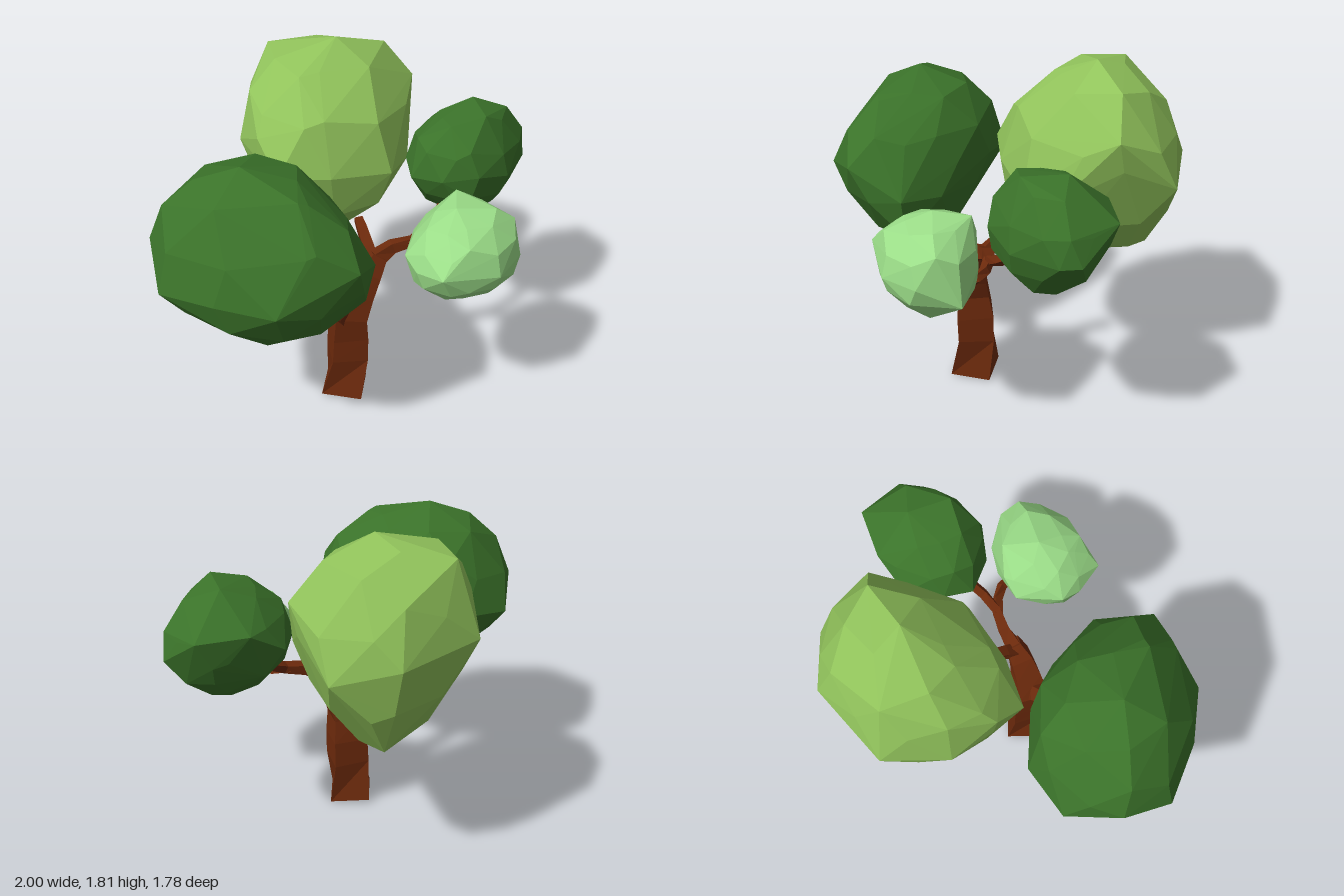
import * as THREE from 'three';
import { ConvexGeometry } from 'three/addons/geometries/ConvexGeometry.js';

const mat = (name, color) => {
  const m = new THREE.MeshStandardMaterial({ color, flatShading: true });
  m.name = name;
  return m;
};

// Distance factor along (dx, dy) from the origin to a closed outline
function reach(outline, dx, dy) {
  let best = 0;
  outline.forEach(([ax, ay], i) => {
    const [bx, by] = outline[(i + 1) % outline.length];
    const ex = bx - ax, ey = by - ay;
    const den = dx * ey - dy * ex;
    if (Math.abs(den) < 1e-9) return;
    const k = (ax * ey - ay * ex) / den;
    const s = (ax * dy - ay * dx) / den;
    if (k > 0 && s > -1e-6 && s < 1 + 1e-6) best = Math.max(best, k);
  });
  return best;
}

// How far an outline leans along its diagonal: -1 to 1
function lean(outline) {
  let uu = 0, vv = 0, uv = 0;
  outline.forEach(([a, b], i) => {
    const [c, d] = outline[(i + 1) % outline.length];
    const w = a * d - b * c;
    uu += 2 * w * (a * a + a * c + c * c);
    vv += 2 * w * (b * b + b * d + d * d);
    uv += w * (2 * a * b + a * d + b * c + 2 * c * d);
  });
  return uv / Math.sqrt(uu * vv);
}

// Faceted leaf clump: hull of its front (x,y), side (z,y) and top (x,z) outlines,
// each bent along a leaning ellipsoid, with three points per octant and any extra corners
function clump(front, side, top, corners = []) {
  const span = (list, i) => {
    const vals = list.map(p => p[i]), lo = Math.min(...vals), hi = Math.max(...vals);
    return [(lo + hi) / 2, (hi - lo) / 2];
  };
  const box = [span(front, 0), span(front, 1), span(side, 0)];
  const planes = [[front, 0, 1, 2], [side, 2, 1, 0], [top, 0, 2, 1]].map(([list, u, v, w]) => {
    const unit = list.map(p => [(p[0] - box[u][0]) / box[u][1], (p[1] - box[v][0]) / box[v][1]]);
    return { unit, u, v, w, r: lean(unit) };
  });
  const between = (i, j) => planes.find(p => p.w === 3 - i - j).r;
  // Depth slopes of axis w against u and v
  const slopes = ({ u, v, w, r }) => {
    const a = between(u, w), b = between(v, w);
    return [(a - b * r) / (1 - r * r), (b - a * r) / (1 - r * r)];
  };
  const points = [];
  for (const plane of planes) {
    const [a, b] = slopes(plane);
    for (const uv of plane.unit) {
      const p = [0, 0, 0];
      p[plane.u] = uv[0];
      p[plane.v] = uv[1];
      p[plane.w] = a * uv[0] + b * uv[1];
      // An extreme point is the same corner in two outlines
      [plane.u, plane.v].forEach((axis, i) => {
        if (Math.abs(uv[i]) < 0.999) return;
        const other = planes.find(o => o !== plane && o.w !== axis);
        const at = other.u === axis ? 0 : 1;
        p[plane.w] = other.unit.find(q => Math.abs(q[at] - uv[i]) < 0.01)?.[1 - at] ?? p[plane.w];
      });
      points.push(p);
    }
  }
  const r = planes[0].r, [a, b] = slopes(planes[0]);
  const depth = Math.sqrt(1 - a * between(0, 2) - b * between(1, 2));
  for (let i = 0; i < 24; i++) {
    const [d1, d2, d3] = [1, 2, 4].map((bit, axis) =>
      (i & bit ? 1 : -1) * (axis === i >> 3 ? 2 : 1) / Math.sqrt(6));
    const x = d1, y = r * d1 + Math.sqrt(1 - r * r) * d2;
    const p = [x, y, a * x + b * y + depth * d3];
    let sum = 0, weight = 0;
    for (const o of planes) {
      const u = p[o.u], v = p[o.v];
      const f = Math.sqrt((u * u + v * v - 2 * o.r * u * v) / (1 - o.r * o.r));
      sum += f ** 9 * reach(o.unit, u, v);
      weight += f ** 8;
    }
    points.push(p.map(c => c * sum / weight));
  }
  const world = points.map(p => p.map((c, i) => box[i][0] + c * box[i][1]));
  return new ConvexGeometry([...world, ...corners].map(p => new THREE.Vector3(...p)));
}

// Tapered limb through [x, y, z, radius, twist] stations
function limb(stations, sides = 4) {
  const pts = stations.map(([x, y, z]) => new THREE.Vector3(x, y, z));
  const up = new THREE.Vector3(0, 1, 0), q = new THREE.Quaternion();
  const verts = [], index = [];
  pts.forEach((p, k) => {
    const t = pts[Math.min(k + 1, pts.length - 1)].clone().sub(pts[Math.max(k - 1, 0)]).normalize();
    q.setFromUnitVectors(up, t);
    const [, , , r, twist = -0.75] = stations[k];
    for (let i = 0; i < sides; i++) {
      const a = twist + (i / sides) * Math.PI * 2;
      verts.push(...new THREE.Vector3(Math.cos(a) * r, 0, Math.sin(a) * r).applyQuaternion(q).add(p).toArray());
    }
  });
  const last = (pts.length - 1) * sides;
  for (let k = 0; k < last; k += sides) {
    for (let i = 0; i < sides; i++) {
      const a = k + i, b = k + (i + 1) % sides;
      index.push(a, a + sides, b, b, a + sides, b + sides);
    }
  }
  for (let i = 1; i < sides - 1; i++) index.push(0, i, i + 1, last, last + i + 1, last + i);
  const geo = new THREE.BufferGeometry();
  geo.setAttribute('position', new THREE.Float32BufferAttribute(verts, 3));
  geo.setIndex(index);
  const flat = geo.toNonIndexed();
  flat.computeVertexNormals();
  return flat;
}

export function createModel() {
  const bark = mat('bark brown', 0x6d2a0c);
  const dark = mat('dark green', 0x3b732a);
  const lime = mat('lime green', 0x91c35b);
  const pale = mat('pale green', 0x9bdd88);
  const tree = new THREE.Group();
  tree.name = 'tree';
  const add = (name, geo, m) => {
    const mesh = new THREE.Mesh(geo, m);
    mesh.name = name;
    tree.add(mesh);
  };

  // Trunk and branches
  add('trunk', limb([
    [-0.045, 0.014, 0.17, 0.152, -0.44], [-0.027, 0.25, 0.168, 0.134], [-0.022, 0.39, 0.166, 0.13],
    [-0.022, 0.53, 0.182, 0.118], [0.03, 0.65, 0.18, 0.096], [0.085, 0.76, 0.165, 0.08], [0.14, 0.84, 0.14, 0.058],
  ]), bark);
  add('rightBranch', limb([
    [-0.03, 0.46, 0.18, 0.06], [-0.085, 0.58, 0.22, 0.07], [-0.17, 0.67, 0.26, 0.06],
    [-0.28, 0.73, 0.31, 0.05], [-0.4, 0.82, 0.37, 0.04],
  ], 5), bark);
  add('leftBranch', limb([
    [0.08, 0.75, 0.165, 0.06], [0.14, 0.83, 0.14, 0.054], [0.22, 0.87, 0.12, 0.04], [0.33, 0.89, 0.12, 0.033],
    [0.42, 0.94, 0.08, 0.03], [0.52, 1.02, 0, 0.027],
  ]), bark);
  add('leftFrontTwig', limb([
    [0.3, 0.885, 0.12, 0.03], [0.39, 0.87, 0.15, 0.029], [0.46, 0.862, 0.2, 0.027], [0.5, 0.86, 0.28, 0.024],
  ]), bark);
  add('backBranch', limb([
    [0.11, 0.79, 0.15, 0.05], [0.1, 0.86, 0.08, 0.04], [0.085, 0.92, 0, 0.036], [0.08, 0.94, -0.06, 0.03],
  ]), bark);

  // Leaf clumps
  add('rightLeaves', clump(
    [[-1, 1.2], [-0.93, 1.4], [-0.78, 1.54], [-0.57, 1.61], [-0.32, 1.54], [-0.1, 1.34], [0.03, 1.08],
      [-0.01, 0.86], [-0.17, 0.77], [-0.36, 0.7], [-0.52, 0.71], [-0.74, 0.83], [-0.92, 1]],
    [[0.4, 1.61], [0.63, 1.53], [0.8, 1.34], [0.89, 1.1], [0.77, 0.88], [0.64, 0.76], [0.5, 0.7],
      [0.28, 0.73], [0.08, 0.87], [-0.06, 1.12], [0.02, 1.4], [0.16, 1.53]],
    [[-1, 0.27], [-0.87, 0.02], [-0.6, -0.06], [-0.34, 0.05], [-0.17, 0.23], [0.03, 0.54], [-0.1, 0.8],
      [-0.5, 0.89], [-0.76, 0.75], [-0.99, 0.54]]), dark);
  add('backLeaves', clump(
    [[0.04, 1.81], [0.31, 1.73], [0.46, 1.54], [0.43, 1.38], [0.32, 1.1], [0.2, 0.88], [-0.03, 0.73],
      [-0.2, 0.79], [-0.38, 1], [-0.48, 1.3], [-0.42, 1.58], [-0.28, 1.73]],
    [[-0.44, 1.81], [-0.59, 1.76], [-0.8, 1.58], [-0.89, 1.32], [-0.84, 1.08], [-0.72, 0.82],
      [-0.45, 0.73], [-0.18, 0.82], [-0.02, 1], [0.02, 1.25], [-0.07, 1.53], [-0.28, 1.7]],
    [[0.06, -0.89], [0.37, -0.79], [0.46, -0.48], [0.37, -0.2], [0.25, -0.05], [-0.08, 0.02],
      [-0.35, 0.01], [-0.42, -0.17], [-0.48, -0.4], [-0.38, -0.72], [-0.1, -0.81]],
    [[-0.28, 1.72, -0.65], [-0.42, 1.43, -0.15]]), lime);
  add('leftLeaves', clump(
    [[0.71, 1.52], [0.88, 1.47], [0.98, 1.33], [1, 1.2], [0.8, 0.96], [0.66, 0.9], [0.45, 1],
      [0.34, 1.2], [0.39, 1.38], [0.52, 1.47]],
    [[0.02, 1.52], [-0.2, 1.52], [-0.27, 1.42], [-0.4, 1.35], [-0.38, 1.22], [-0.25, 1], [-0.1, 0.9],
      [0, 0.95], [0.14, 1.12], [0.16, 1.25], [0.13, 1.38]],
    [[0.62, -0.4], [0.8, -0.38], [0.88, -0.4], [1, -0.22], [0.98, -0.12], [0.83, 0.08], [0.65, 0.16],
      [0.47, 0.12], [0.34, 0], [0.35, -0.15], [0.44, -0.33]]), dark);
  add('leftFrontLeaves', clump(
    [[0.46, 1.25], [0.66, 1.23], [0.76, 1.16], [0.78, 0.9], [0.68, 0.8], [0.51, 0.77], [0.35, 0.8],
      [0.24, 0.9], [0.2, 1.04], [0.3, 1.18]],
    [[0.4, 1.25], [0.22, 1.24], [0.19, 1.1], [0.2, 0.9], [0.28, 0.8], [0.42, 0.77], [0.53, 0.8],
      [0.66, 0.93], [0.69, 1.04], [0.63, 1.16], [0.53, 1.21]],
    [[0.3, 0.22], [0.4, 0.19], [0.62, 0.2], [0.78, 0.29], [0.77, 0.5], [0.62, 0.65], [0.32, 0.69],
      [0.23, 0.55], [0.2, 0.44]],
    [[0.38, 1.17, 0.57]]), pale);

  return tree;
}
